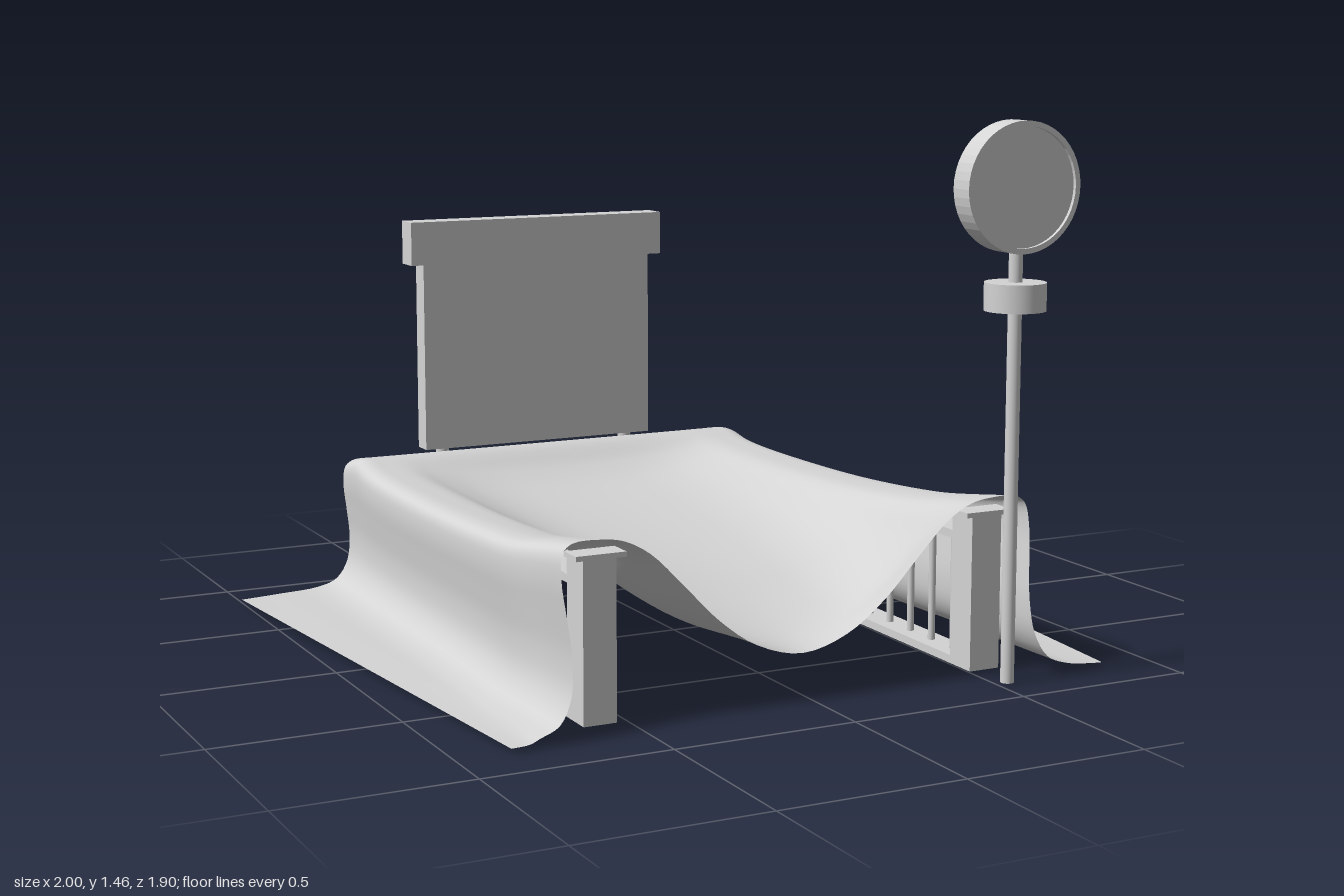
import * as THREE from 'three';

export function createModel() {
  const root = new THREE.Group();
  root.name = 'drapedFrame';
  const grey = new THREE.MeshStandardMaterial({ color: 0xd4d4d4 });
  grey.name = 'plain grey';
  const clothGrey = new THREE.MeshStandardMaterial({ color: 0xd4d4d4, side: THREE.DoubleSide });
  clothGrey.name = 'cloth grey';

  const add = (name, geometry, x = 0, y = 0, z = 0, parent = root, material = grey) => {
    const mesh = new THREE.Mesh(geometry, material);
    mesh.name = name;
    mesh.position.set(x, y, z);
    parent.add(mesh);
    return mesh;
  };
  // Box given by its limits on each axis
  const box = (name, x0, x1, y0, y1, z0, z1, parent = root) =>
    add(name, new THREE.BoxGeometry(x1 - x0, y1 - y0, z1 - z0),
      (x0 + x1) / 2, (y0 + y1) / 2, (z0 + z1) / 2, parent);
  const group = (name) => {
    const g = new THREE.Group();
    g.name = name;
    root.add(g);
    return g;
  };

  const CX = -0.025; // middle of the frame and cloth

  // Railings on the two sides and the back
  const railing = group('railing');
  const bar = new THREE.CylinderGeometry(0.01, 0.01, 0.33, 8);
  for (const [y0, y1] of [[0.008, 0.03], [0.35, 0.372]]) {
    box('backRail', -0.63, 0.583, y0, y1, -0.948, -0.87, railing);
    for (const s of [-1, 1]) {
      box('sideRail', CX + s * 0.56 - 0.045, CX + s * 0.56 + 0.045, y0, y1, -0.87, 0.7, railing);
    }
  }
  for (let i = 0; i < 15; i++) add('backBaluster', bar, -0.61 + i * 0.0835, 0.19, -0.9, railing);
  for (const s of [-1, 1]) {
    for (let i = 0; i < 14; i++) add('sideBaluster', bar, CX + s * 0.56, 0.19, -0.79 + i * 0.108, railing);
  }

  // Front posts with flat caps
  for (const s of [-1, 1]) {
    const x = CX + s * 0.56;
    box('frontPost', x - 0.045, x + 0.045, 0.008, 0.425, 0.67, 0.765);
    box('postCap', x - 0.068, x + 0.068, 0.425, 0.438, 0.705, 0.775);
  }

  // Back board with a wider top and two pegs under it
  const board = group('backBoard');
  box('panel', -0.405, 0.345, 0.405, 0.97, -0.936, -0.872, board);
  box('topBeam', -0.445, 0.385, 0.97, 1.1, -0.943, -0.866, board);
  for (const x of [-0.34, 0.275]) {
    add('peg', new THREE.CylinderGeometry(0.02, 0.02, 0.05, 12), x, 0.387, -0.904, board);
  }

  // Post with collar and round head
  const lamp = group('signPost');
  const LX = 0.538, LZ = 0.868;
  add('pole', new THREE.CylinderGeometry(0.018, 0.018, 1.135, 20), LX, 0.5675, LZ, lamp);
  add('collar', new THREE.CylinderGeometry(0.08, 0.08, 0.073, 40), LX, 1.015, LZ, lamp);
  const ring = new THREE.Shape().absarc(0, 0, 0.169, 0, Math.PI * 2);
  ring.holes.push(new THREE.Path().absarc(0, 0, 0.155, 0, Math.PI * 2, true));
  add('headRim', new THREE.ExtrudeGeometry(ring, { depth: 0.07, bevelEnabled: false, curveSegments: 24 }),
    LX, 1.294, LZ - 0.035, lamp);
  add('headDisc', new THREE.CylinderGeometry(0.156, 0.156, 0.05, 48), LX, 1.294, LZ, lamp).rotation.x = Math.PI / 2;

  // Cloth: each station is [z, height over the rails, height in the middle, how rounded the sag is]
  const stations = [
    [-0.885, 0.395, 0.392, 0], [-0.79, 0.41, 0.408, 0], [-0.69, 0.395, 0.355, 0], [-0.58, 0.388, 0.32, 0],
    [-0.3, 0.386, 0.295, 0], [0, 0.392, 0.268, 0], [0.25, 0.405, 0.23, 0], [0.45, 0.422, 0.182, 0],
    [0.63, 0.45, 0.143, 0.25], [0.78, 0.475, 0.125, 1],
  ];
  // Sag profile: [distance from middle, rise when flat, rise when rounded]
  const sag = [[0, 0, 0], [0.13, 0.03, 0.1], [0.24, 0.11, 0.32], [0.34, 0.3, 0.61],
    [0.43, 0.62, 0.86], [0.5, 0.93, 0.97], [0.56, 1, 1]];
  // Hanging side: [distance, height as share of rail height]
  const hang = [[0.608, 0.995], [0.635, 0.95], [0.643, 0.82], [0.636, 0.62], [0.63, 0.42],
    [0.64, 0.23], [0.675, 0.1], [0.73, 0.05]];

  const sections = stations.map(([z, top, mid, round]) => {
    const k = (z + 0.885) / 1.665; // 0 at the back, 1 at the front
    const bulge = 0.032 * k + 0.015 * Math.exp(-(((z - 0.38) / 0.12) ** 2));
    const half = sag.map(([d, a, b]) => [d, mid + (top - mid) * (a + (b - a) * round), z]);
    for (const [d, h] of hang) {
      const zLow = -0.865 + k * 1.72;
      half.push([d + bulge * (1 - (1 - h) * 0.1), top * h, z + (zLow - z) * (1 - h)]);
    }
    const edge = 0.998 - 0.143 * k;
    half.push([0.38 + edge / 2, 0.015, -0.85 + k * 1.707], [edge, 0.012, -0.84 + k * 1.697]);
    const place = (s) => ([d, y, zz]) => new THREE.Vector3(CX * (d > 0.78 ? 0.2 : 1) + s * d, y, zz);
    const left = half.slice(1).reverse().map(place(-1));
    return new THREE.CatmullRomCurve3([...left, ...half.map(place(1))]);
  });

  const NU = 128, NV = 72;
  const cloth = new THREE.PlaneGeometry(1, 1, NU, NV);
  const pos = cloth.attributes.position;
  for (let i = 0; i <= NU; i++) {
    const along = new THREE.CatmullRomCurve3(sections.map((c) => c.getPoint(i / NU)));
    for (let j = 0; j <= NV; j++) {
      const p = along.getPoint(j / NV);
      pos.setXYZ(j * (NU + 1) + i, p.x, Math.max(p.y, 0.008), p.z);
    }
  }
  cloth.computeVertexNormals();
  add('drapedCloth', cloth, 0, 0, 0, root, clothGrey);

  return root;
}
